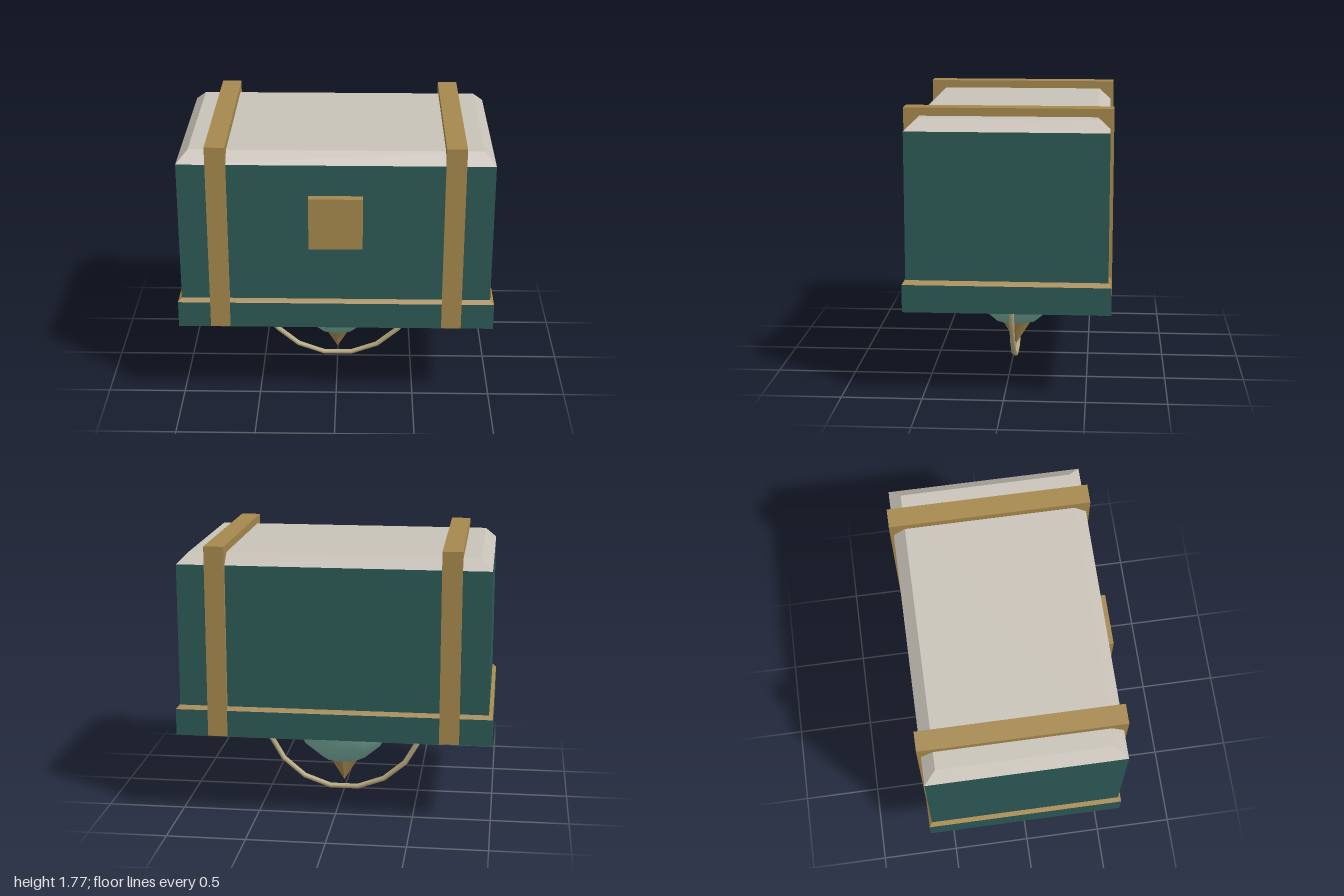
import * as THREE from 'three';

const paint = (name, color, extra = {}) => {
  const m = new THREE.MeshStandardMaterial({ color, ...extra });
  m.name = name;
  return m;
};

// Box whose top face is resized, giving sloped sides
function frustum(w0, d0, w1, d1, h) {
  const g = new THREE.BoxGeometry(w0, h, d0);
  const p = g.attributes.position;
  for (let i = 0; i < p.count; i++) {
    if (p.getY(i) > 0) {
      p.setX(i, p.getX(i) * w1 / w0);
      p.setZ(i, p.getZ(i) * d1 / d0);
    }
  }
  g.computeVertexNormals();
  return g;
}

export function createModel() {
  const teal = paint('dark teal', 0x2d5a56);
  const brass = paint('brass', 0xa5884d);
  const cream = paint('pale stone', 0xc8c2b8);
  const wire = paint('pale gold', 0xb8aa80);
  const mint = paint('mint glass', 0x80b8a9);
  const green = paint('emerald', 0x1f8068, { side: THREE.DoubleSide });

  const root = new THREE.Group();
  root.name = 'chest';
  const core = new THREE.Group();
  core.name = 'chestCore';
  core.position.z = -0.0175;
  root.add(core);

  const add = (name, geometry, material, x = 0, y = 0, z = 0, parent = core) => {
    const mesh = new THREE.Mesh(geometry, material);
    mesh.name = name;
    mesh.position.set(x, y, z);
    parent.add(mesh);
    return mesh;
  };

  // Chest: plinth, sloped trim, walls and bevelled lid
  add('plinth', new THREE.BoxGeometry(2, 0.17, 1.265), teal, 0, 0.635);
  add('trim', frustum(2, 1.265, 1.95, 1.225, 0.025), brass, 0, 0.7325);
  add('body', new THREE.BoxGeometry(1.95, 0.905, 1.225), teal, 0, 1.1975);
  add('lid', frustum(1.95, 1.225, 1.81, 1.075, 0.07), cream, 0, 1.685);

  // Straps and front lock plate
  for (const s of [-1, 1]) {
    add(s > 0 ? 'leftStrap' : 'rightStrap',
      new THREE.BoxGeometry(0.125, 1.218, 1.269), brass, s * 0.7325, 1.161);
  }
  add('lockPlate', new THREE.BoxGeometry(0.335, 0.335, 0.07), brass, 0, 1.283, 0.615, root);

  // Glass bowl with a pointed four-sided tip
  const profile = [[0, 0.235], [0.15, 0.24], [0.265, 0.34], [0.332, 0.47], [0.342, 0.55]]
    .map(([x, y]) => new THREE.Vector2(x, y));
  add('bowl', new THREE.LatheGeometry(profile, 10), mint);
  const tip = new THREE.ConeGeometry(0.112, 0.18, 4);
  tip.rotateX(Math.PI);
  tip.computeVertexNormals();
  add('bowlTip', tip, brass, 0, 0.155);

  // Wire hoops: one flat under the plinth, one hanging
  const flatHoop = new THREE.TorusGeometry(0.54, 0.018, 6, 18);
  flatHoop.rotateX(Math.PI / 2);
  add('flatHoop', flatHoop, wire, 0, 0.55);
  const hangingHoop = new THREE.TorusGeometry(0.54, 0.018, 6, 9, Math.PI);
  hangingHoop.rotateX(Math.PI);
  add('hangingHoop', hangingHoop, wire, 0, 0.55);

  // Square frame around the bowl
  const square = (path, r) => path.moveTo(-r, -r).lineTo(r, -r).lineTo(r, r).lineTo(-r, r).closePath();
  const frameShape = square(new THREE.Shape(), 0.415);
  frameShape.holes.push(square(new THREE.Path(), 0.31));
  const frame = new THREE.ExtrudeGeometry(frameShape, { depth: 0.024, bevelEnabled: false });
  frame.rotateX(Math.PI / 2);
  add('squareFrame', frame, green, 0, 0.551);

  // Small leaf beside the bowl
  const leaf = new THREE.BufferGeometry();
  leaf.setAttribute('position', new THREE.Float32BufferAttribute(
    [0.3, 0.515, 0.12, 0.46, 0.487, 0, 0.3, 0.515, -0.12], 3));
  leaf.computeVertexNormals();
  add('leaf', leaf, green);

  return root;
}
